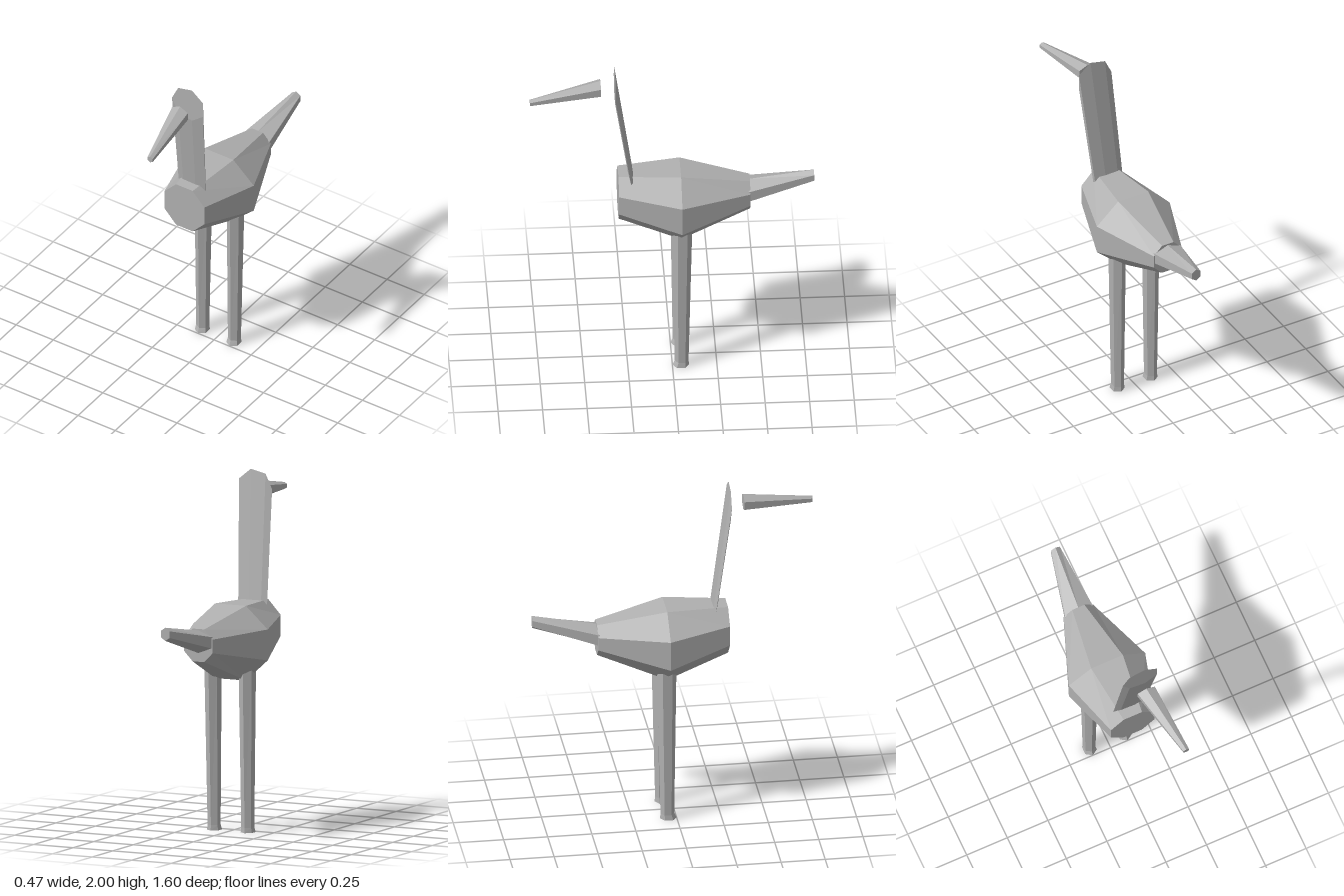
import * as THREE from 'three';

// Closed loft along +z. Each ring is [z, centreX, centreY, radiusX, radiusY], listed back to front.
function loft(rings, sides, startAngle) {
  const pos = [];
  const point = ([z, cx, cy, rx, ry], i) => {
    const a = startAngle + ((i % sides) / sides) * Math.PI * 2;
    return [cx + rx * Math.cos(a), cy + ry * Math.sin(a), z];
  };
  const first = rings[0], last = rings[rings.length - 1];
  for (let i = 0; i < sides; i++) {
    for (let k = 0; k < rings.length - 1; k++) {
      const a = point(rings[k], i), b = point(rings[k], i + 1);
      const c = point(rings[k + 1], i + 1), d = point(rings[k + 1], i);
      pos.push(...a, ...b, ...c, ...a, ...c, ...d);
    }
    // End caps
    pos.push(first[1], first[2], first[0], ...point(first, i + 1), ...point(first, i));
    pos.push(last[1], last[2], last[0], ...point(last, i), ...point(last, i + 1));
  }
  const geo = new THREE.BufferGeometry();
  geo.setAttribute('position', new THREE.Float32BufferAttribute(pos, 3));
  geo.computeVertexNormals(); // unshared corners give flat facets
  return geo;
}

export function createModel() {
  const group = new THREE.Group();
  group.name = 'bird';
  const grey = new THREE.MeshStandardMaterial({ color: 0xb0b0b0, flatShading: true });
  grey.name = 'grey';

  const add = (name, geo) => {
    const mesh = new THREE.Mesh(geo, grey);
    mesh.name = name;
    group.add(mesh);
    return mesh;
  };

  // Octagonal body, flat on top and bottom
  const k = 1 / Math.cos(Math.PI / 8);
  add('body', loft([
    [-0.44, 0, 1.107, 0.09 * k, 0.093 * k],
    [-0.05, 0, 1.072, 0.235 * k, 0.212 * k],
    [0.30, 0, 1.128, 0.135 * k, 0.143 * k],
  ], 8, Math.PI / 8));

  // Six-sided tail
  add('tail', loft([
    [-0.80, 0.022, 1.218, 0.032, 0.0375],
    [-0.43, 0, 1.125, 0.098, 0.065],
  ], 6, Math.PI / 2));

  // Seven-sided, steeply sheared neck
  add('neck', loft([
    [0.20, 0, 1.07, 0.092, 0.09],
    [0.32, 0.04, 1.892, 0.11, 0.11],
  ], 7, Math.PI));

  // Six-sided beak, floating ahead of the neck
  add('beak', loft([
    [0.40, 0.0375, 1.877, 0.061, 0.048],
    [0.80, 0.1025, 1.835, 0.02, 0.02],
  ], 6, Math.PI / 2));

  // Six-sided legs with slightly flared feet, lofted along z and stood upright
  for (const [name, foot, top] of [['rightLeg', -0.11, -0.109], ['leftLeg', 0.103, 0.108]]) {
    const leg = loft([
      [0, foot, 0.047, 0.041, 0.047],
      [0.03, foot, 0.052, 0.036, 0.039],
      [0.95, top, 0.056, 0.047, 0.056],
    ], 6, Math.PI / 2);
    leg.rotateX(-Math.PI / 2);
    add(name, leg);
  }

  return group;
}
